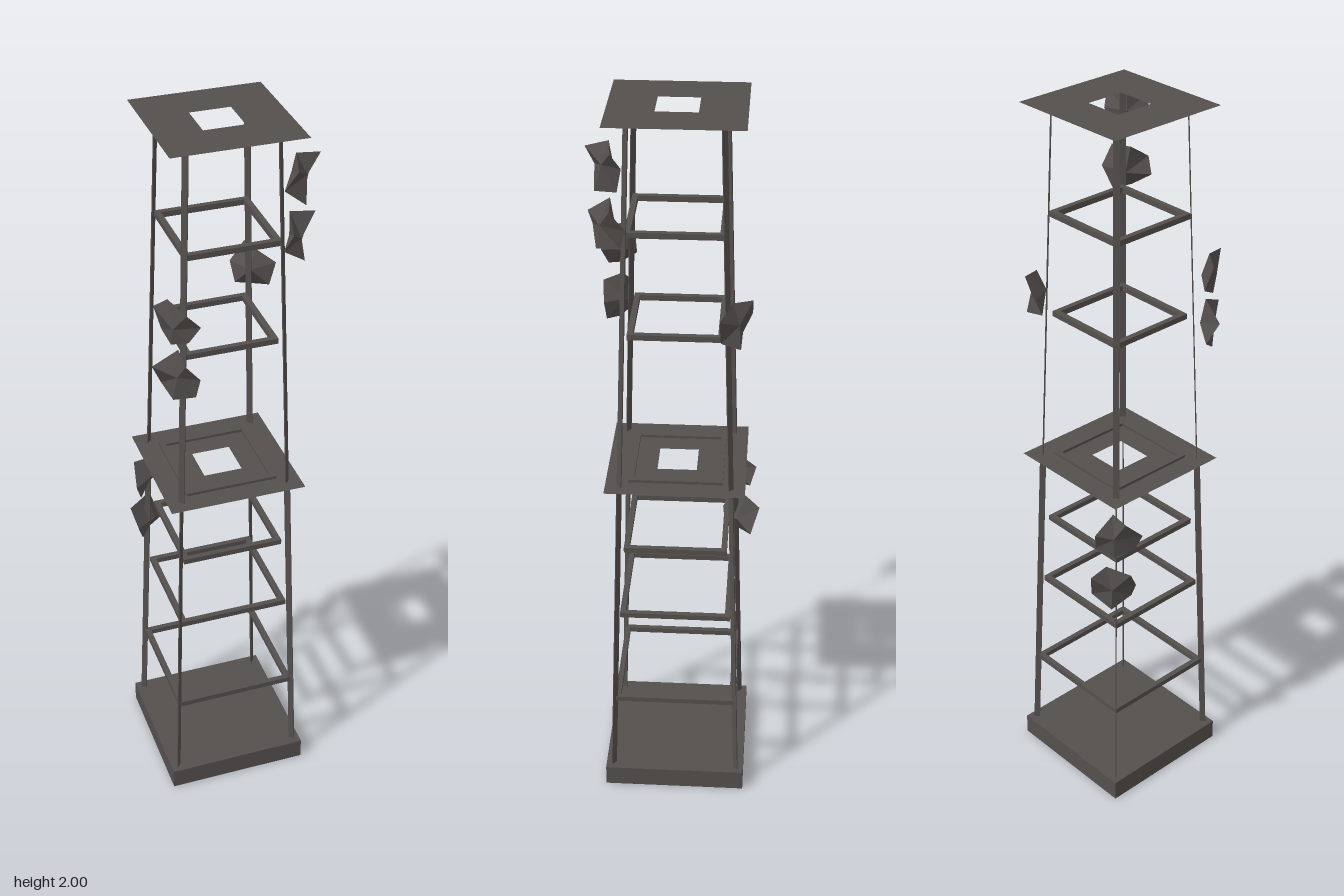
import * as THREE from 'three';

const steel = new THREE.MeshStandardMaterial({ color: 0x544f4d });
steel.name = 'dark steel';
const sheet = new THREE.MeshStandardMaterial({ color: 0x544f4d, side: THREE.DoubleSide, flatShading: true });
sheet.name = 'dark steel sheet';

function add(parent, name, geometry, material = steel) {
  const mesh = new THREE.Mesh(geometry, material);
  mesh.name = name;
  parent.add(mesh);
  return mesh;
}

// Small seeded generator, -1..1
function seeded(seed) {
  return () => {
    seed = (seed * 16807) % 2147483647;
    return (seed / 2147483647) * 2 - 1;
  };
}

// Square frame of four bars around the tower
function brace(parent, name, y, half) {
  const t = 0.015;
  const group = new THREE.Group();
  group.name = name;
  for (const s of [-1, 1]) {
    add(group, 'braceBarX', new THREE.BoxGeometry(half * 2, t, t)).position.z = s * (half - t / 2);
    add(group, 'braceBarZ', new THREE.BoxGeometry(t, t, half * 2 - t * 2)).position.x = s * (half - t / 2);
  }
  group.position.y = y;
  parent.add(group);
}

// Flat sheet with a square opening
function platform(parent, name, y, half) {
  const square = (h, path) => path.moveTo(-h, -h).lineTo(h, -h).lineTo(h, h).lineTo(-h, h).closePath();
  const shape = square(half, new THREE.Shape());
  shape.holes.push(square(0.053, new THREE.Path()));
  const mesh = add(parent, name, new THREE.ShapeGeometry(shape), sheet);
  mesh.rotation.x = -Math.PI / 2;
  mesh.position.y = y;
}

// Flat strip leaning inward; local z points away from the tower axis
function strip(corner, name, [y0, r0], [y1, r1], wide, deep) {
  const mesh = add(corner, name, new THREE.BoxGeometry(wide, Math.hypot(y1 - y0, r1 - r0), deep));
  mesh.position.set(0, (y0 + y1) / 2, (r0 + r1) / 2);
  mesh.rotation.x = Math.atan2(r1 - r0, y1 - y0);
}

// Crumpled faceted dish: a jagged rim joined to an inner and an outer point
function dishGeometry(seed) {
  const rnd = seeded(seed * 7919 + 13);
  for (let i = 0; i < 5; i++) rnd();
  const n = 7, rim = [], pos = [];
  for (let i = 0; i < n; i++) {
    const a = ((i + 0.25 * rnd()) / n) * Math.PI * 2;
    const r = 0.064 + 0.008 * rnd();
    rim.push([Math.cos(a) * r, Math.sin(a) * r, (i % 2 ? 0.014 : -0.01) + 0.012 * rnd()]);
  }
  const inner = [0.01 * rnd(), 0.01 * rnd(), -0.027];
  const outer = [0.01 * rnd(), 0.01 * rnd(), 0.012];
  for (let i = 0; i < n; i++) {
    const a = rim[i], b = rim[(i + 1) % n];
    pos.push(...a, ...b, ...outer, ...b, ...a, ...inner);
  }
  const g = new THREE.BufferGeometry();
  g.setAttribute('position', new THREE.Float32BufferAttribute(pos, 3));
  g.computeVertexNormals();
  return g;
}

export function createModel() {
  const model = new THREE.Group();
  model.name = 'latticeTower';
  const tower = new THREE.Group();
  tower.name = 'tower';
  tower.position.set(0.001, 0, -0.006);
  model.add(tower);

  // Foundation slab
  add(tower, 'base', new THREE.BoxGeometry(0.398, 0.06, 0.398)).position.y = 0.03;

  // Legs: lower strips are wide radially, upper ones wide sideways
  const D = Math.SQRT2;
  for (const sx of [-1, 1]) for (const sz of [-1, 1]) {
    const corner = new THREE.Group();
    corner.name = 'leg';
    corner.rotation.y = Math.atan2(sx, sz);
    tower.add(corner);
    strip(corner, 'lowerLeg', [0.06, 0.177 * D], [1.0, 0.148 * D], 0.003, 0.017);
    strip(corner, 'upperLeg', [1.0, 0.148 * D], [1.995, 0.117 * D], 0.017, 0.003);
  }

  // Horizontal braces
  const braces = [[0.295, 0.17], [0.58, 0.153], [0.79, 0.14], [1.0, 0.126], [1.43, 0.123], [1.71, 0.125], [1.9915, 0.119]];
  for (const [y, half] of braces) brace(tower, 'brace', y, half);

  // Platforms
  platform(tower, 'middlePlatform', 1.0, 0.186);
  platform(tower, 'topPlatform', 2.0, 0.172);

  // Dishes on the corners, facing outward
  const dishes = [
    [0.155, 1.9, 0.16], [0.152, 1.745, 0.16],
    [0.15, 1.495, -0.163],
    [-0.165, 1.56, 0.16], [-0.162, 1.41, 0.163],
    [-0.158, 0.885, -0.165], [-0.158, 0.73, -0.178],
  ];
  dishes.forEach(([x, y, z], i) => {
    const dish = add(model, 'dish', dishGeometry(i + 1), sheet);
    dish.position.set(x, y, z);
    dish.rotation.y = Math.atan2(Math.sign(x), Math.sign(z));
  });
  return model;
}
